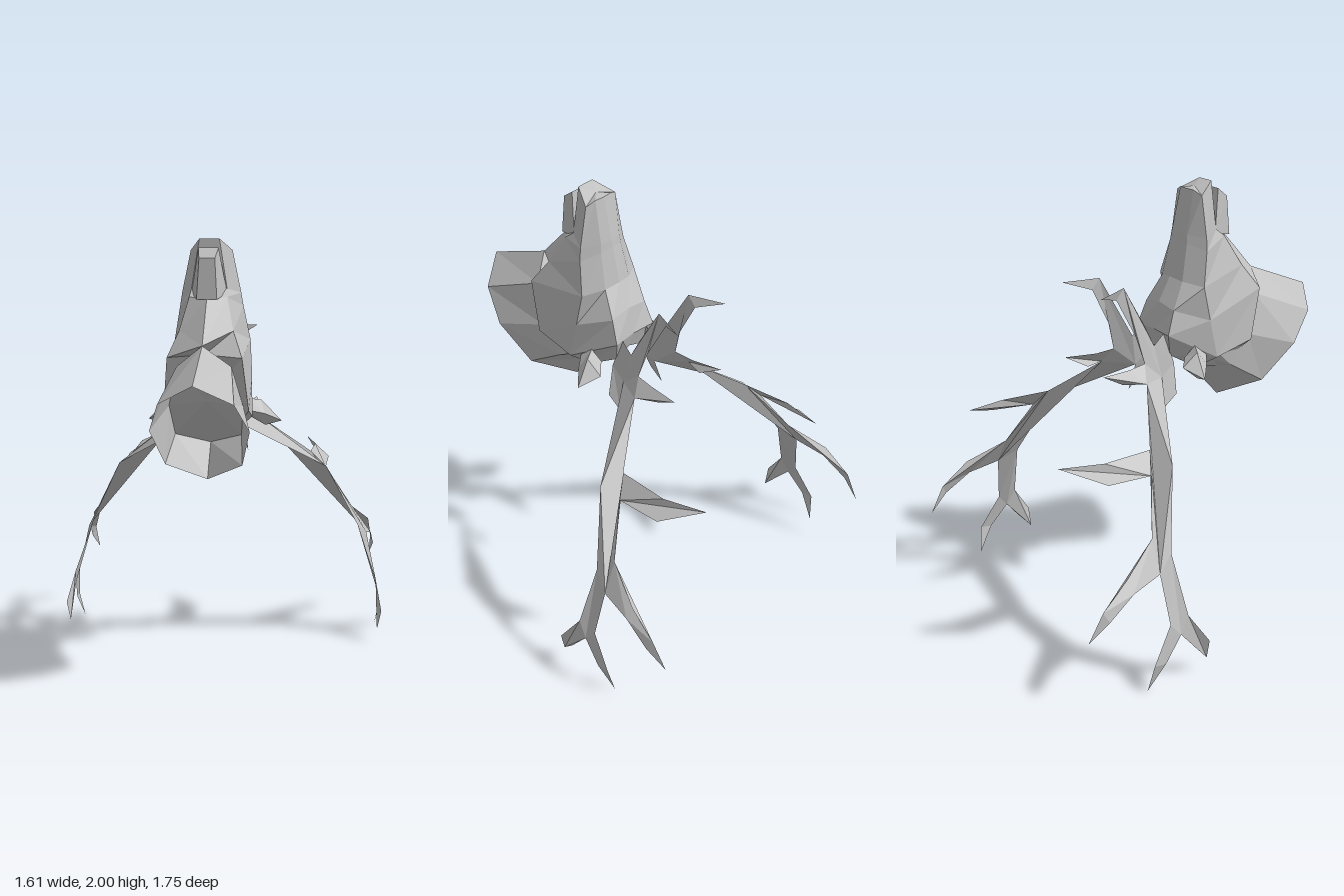
import * as THREE from 'three';

const grey = new THREE.MeshStandardMaterial({ color: 0xc0c0c0, flatShading: true, side: THREE.DoubleSide });
grey.name = 'stoneGrey';

function facets(triangles) {
  const g = new THREE.BufferGeometry();
  g.setAttribute('position', new THREE.Float32BufferAttribute(triangles.flat(2), 3));
  g.computeVertexNormals();
  return g;
}

// Completes a half ring (first and last points on x = 0) by mirroring
const mirrorRing = (half) =>
  half.concat(half.slice(1, -1).reverse().map(([x, y, z]) => [-x, y, z]));

function fan(ring, flip) {
  const c = [0, 1, 2].map((k) => ring.reduce((s, p) => s + p[k], 0) / ring.length);
  return ring.map((p, i) => {
    const q = ring[(i + 1) % ring.length];
    return flip ? [c, q, p] : [c, p, q];
  });
}

// Faceted skin over a row of closed rings
function loft(rings, capStart, capEnd) {
  const tris = [];
  for (let r = 0; r < rings.length - 1; r++) {
    const A = rings[r], B = rings[r + 1], n = A.length;
    for (let i = 0; i < n; i++) {
      const j = (i + 1) % n;
      tris.push([A[i], A[j], B[j]], [A[i], B[j], B[i]]);
    }
  }
  if (capStart) tris.push(...fan(rings[0], true));
  if (capEnd) tris.push(...fan(rings[rings.length - 1], false));
  return facets(tris);
}

export function createModel() {
  const model = new THREE.Group();
  model.name = 'stagHead';
  const add = (name, geometry) => {
    const m = new THREE.Mesh(geometry, grey);
    m.name = name;
    model.add(m);
    return m;
  };
  const addPair = (name, geometry) => {
    add(name + 'Left', geometry);
    add(name + 'Right', geometry).scale.x = -1;
  };

  // Head, muzzle tip down to the base of the skull
  add('head', loft([
    [[0, 1.97, .15], [.05, 1.97, .155], [.095, 1.95, .17], [.045, 2, .26], [0, 2, .26]],
    [[0, 1.77, .105], [.06, 1.77, .115], [.135, 1.76, .17], [.08, 1.78, .265], [0, 1.78, .265]],
    [[0, 1.74, .1], [.065, 1.73, .11], [.145, 1.7, .165], [.085, 1.745, .31], [0, 1.735, .37]],
    [[0, 1.57, .06], [.08, 1.56, .075], [.175, 1.545, .13], [.12, 1.6, .39], [0, 1.545, .54]],
    [[0, 1.46, 0], [.11, 1.44, .005], [.185, 1.385, .16], [.165, 1.487, .465], [0, 1.5, .45]],
    [[0, 1.33, -.025], [.125, 1.33, -.035], [.19, 1.2, .2], [.19, 1.25, .4], [0, 1.3, .3]],
    [[0, 1.25, 0], [.09, 1.22, 0], [.11, 1.14, .14], [.1, 1.12, .26], [0, 1.14, .2]],
  ].map(mirrorRing), true, true));

  // Lower jaw
  add('lowerJaw', loft([
    [[0, 1.96, .3], [.045, 1.96, .3], [.035, 1.915, .36], [0, 1.915, .36]],
    [[0, 1.76, .26], [.08, 1.76, .26], [.045, 1.735, .37], [0, 1.735, .37]],
  ].map(mirrorRing), true, true));

  // Neck, open at the far end with a recessed wall inside
  const neck = [
    [[0, 1.21, .09], [.1, 1.2, .14], [.15, 1.22, .22], [.12, 1.35, .3], [0, 1.45, .35]],
    [[0, 1.08, .21], [.15, 1.13, .31], [.165, 1.27, .4], [.12, 1.45, .47], [0, 1.545, .54]],
    [[0, .93, .345], [.17, 1.02, .49], [.215, 1.19, .65], [.16, 1.32, .78], [0, 1.407, .88]],
  ].map(mirrorRing);
  add('neck', loft(neck, false, false));
  add('neckInnerWall', facets(fan(neck[1], false)));

  // Ears
  const earTip = [.315, 1.16, .035];
  addPair('ear', loft([
    [[.16, 1.27, .09], [.17, 1.22, .15], [.17, 1.19, .11], [.15, 1.22, .04]],
    [[.22, 1.26, .06], [.24, 1.2, .1], [.24, 1.14, .05], [.22, 1.2, -.02]],
    [earTip, earTip, earTip, earTip],
  ], true, false));

  // Antlers: thin bent sheets, outline runs around every tine
  const outline = [
    [.08, 1.33, -.03], [.09, 1.285, -.09],
    // upper tine
    [.1, 1.395, -.15], [.1, 1.59, -.26], [.165, 1.58, -.42], [.1, 1.54, -.3], [.11, 1.355, -.205],
    // second tine
    [.13, 1.225, -.17], [.14, 1.215, -.26], [.165, 1.22, -.415], [.15, 1.155, -.3], [.19, 1.15, -.2],
    // back tine
    [.44, .955, -.355], [.455, .957, -.6], [.405, .965, -.8], [.525, .887, -.625], [.515, .87, -.4],
    // long outer tine
    [.65, .65, -.49], [.735, .55, -.67], [.75, .44, -.805], [.745, .315, -.875],
    [.765, .395, -.78], [.75, .48, -.65], [.725, .515, -.5],
    // end fork
    [.775, .285, -.48], [.8, .125, -.58], [.775, 0, -.6], [.8, .12, -.52], [.785, .225, -.43],
    [.805, .14, -.36], [.785, .06, -.29], [.805, .155, -.29], [.775, .3, -.385],
    // beam and brow tine
    [.68, .57, -.41], [.52, .89, -.29], [.11, 1.13, -.06],
    [.15, .995, -.075], [.15, 1.05, -.005], [.1, 1.185, .015],
  ];
  const flat = outline.map(([, y, z]) => new THREE.Vector2(-z, y));
  const tris = THREE.ShapeUtils.triangulateShape(flat, [])
    .map((t) => t.map((i) => outline[i]));
  addPair('antler', facets(tris));

  return model;
}
